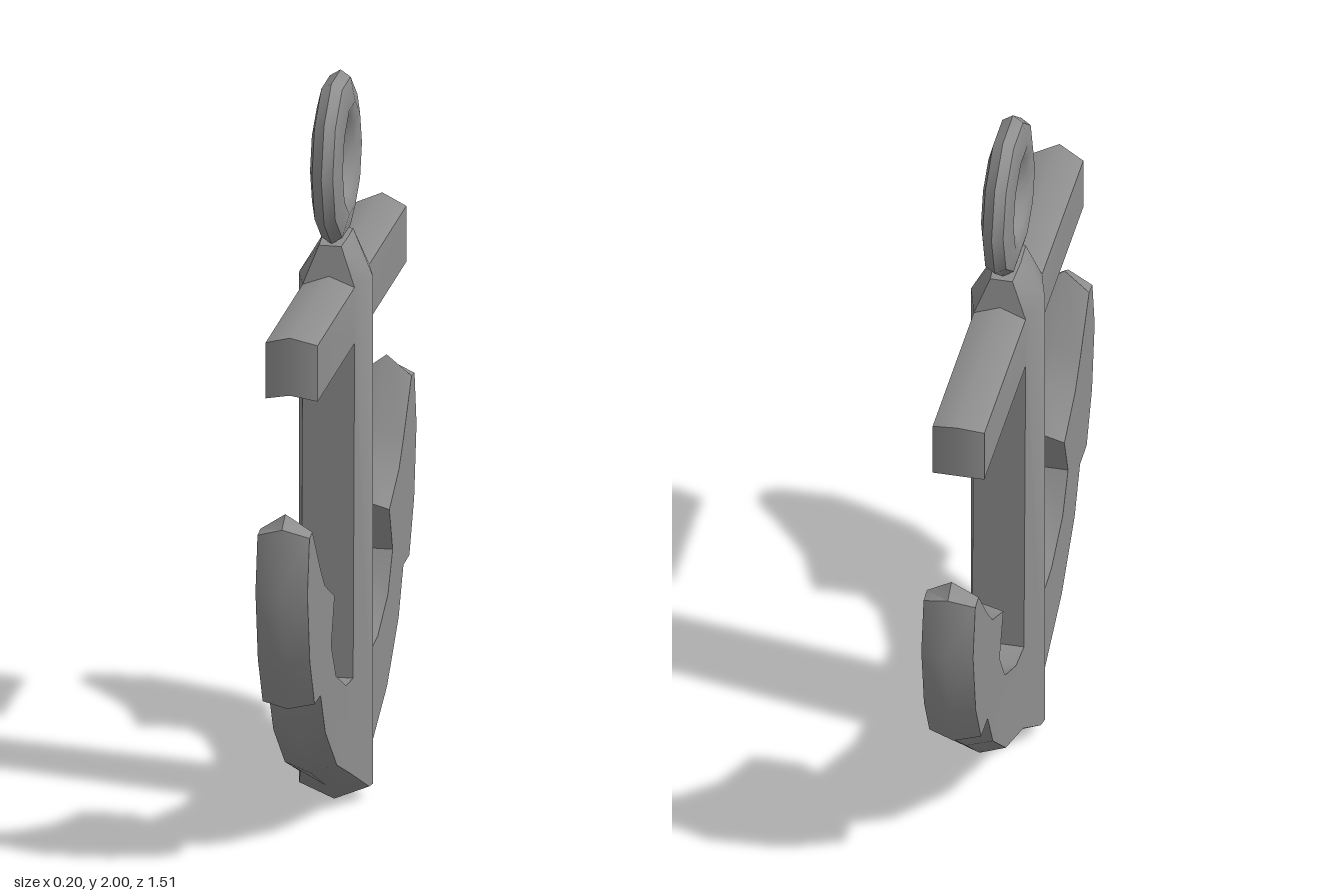
import * as THREE from 'three';
import { toCreasedNormals } from 'three/addons/utils/BufferGeometryUtils.js';

// Half outline of the anchor: z, y, half thickness of the side edge, then z, y of the mid ridge
const OUTLINE = [
  [0, 0.04, 0.1, 0, 0],               // 0 crown
  [0.025, 0.04, 0.0945, 0.025, 0],
  [0.13, 0.105, 0.07, 0.13, 0.07],    // 2 underside of arm
  [0.34, 0.2, 0.07, 0.345, 0.175],
  [0.495, 0.34, 0.07, 0.51, 0.325],
  [0.56, 0.465, 0.07, 0.575, 0.456],
  [0.64, 0.466, 0.07, 0.66, 0.455],   // 6 back of fluke
  [0.705, 0.605, 0.07, 0.72, 0.595],
  [0.737, 0.8, 0.07, 0.757, 0.8],
  [0.71, 0.95, 0.07, 0.73, 0.975],
  [0.67, 0.955, 0.07, 0.685, 1.005],  // 10 tip
  [0.56, 0.815, 0.07, 0.573, 0.84],
  [0.5, 0.75, 0.07, 0.5, 0.768],
  [0.37, 0.68, 0.07, 0.37, 0.7],      // 13 barb
  [0.415, 0.555, 0.07, 0.415, 0.555],
  [0.35, 0.45, 0.07, 0.35, 0.45],
  [0.215, 0.38, 0.07, 0.215, 0.38],
  [0.12, 0.37, 0.07, 0.12, 0.37],     // 17 foot of shank
  [0.1, 1.295, 0.07, 0.1, 1.315],     // 18 stock
  [0.6, 1.295, 0.07, 0.625, 1.315],
  [0.6, 1.45, 0.07, 0.625, 1.475],
  [0.1, 1.45, 0.07, 0.095, 1.475],    // 21 shoulder
  [0.08, 1.555, 0.03, 0.08, 1.555],
  [0, 1.56, 0.035, 0, 1.56],          // 23 neck
  [0, 1.45, 0.1, 0, 1.45],            // 24 middle of shoulder, inside the side face
];

// Side face of each part, and the stretch of the outline that its rim follows
const PARTS = {
  shank: { faces: [[0, 1, 2, 17, 18, 21, 24], [24, 21, 22, 23]], rims: [[0, 2], [17, 18], [21, 23]] },
  arms: { faces: [[2, 3, 4, 5, 6, 7, 8, 9, 10, 11, 12, 13, 14, 15, 16, 17]], rims: [[2, 17]] },
  stock: { faces: [[18, 19, 20, 21]], rims: [[18, 21]] },
};

// Corner positions of a part: one quarter, mirrored to both sides and both ends
function partPositions({ faces, rims }) {
  const edge = (i) => [OUTLINE[i][2], OUTLINE[i][1], OUTLINE[i][0]];
  const ridge = (i) => [0, OUTLINE[i][4], OUTLINE[i][3]];
  const triangles = [];
  for (const face of faces) {
    const contour = face.map((i) => new THREE.Vector2(OUTLINE[i][0], OUTLINE[i][1]));
    for (const t of THREE.ShapeUtils.triangulateShape(contour, [])) {
      triangles.push(t.map((k) => edge(face[k])));
    }
  }
  for (const [from, to] of rims) {
    for (let i = from; i < to; i++) {
      triangles.push([edge(i + 1), edge(i), ridge(i)], [edge(i + 1), ridge(i), ridge(i + 1)]);
    }
  }
  const positions = [];
  for (const sx of [1, -1]) {
    for (const sz of [1, -1]) {
      for (const [a, b, c] of triangles) {
        for (const p of sx * sz > 0 ? [a, c, b] : [a, b, c]) positions.push(sx * p[0], p[1], sz * p[2]);
      }
    }
  }
  return positions;
}

function geometryFrom(positions) {
  const geometry = new THREE.BufferGeometry();
  geometry.setAttribute('position', new THREE.Float32BufferAttribute(positions, 3));
  return geometry;
}

export function createModel() {
  const group = new THREE.Group();
  group.name = 'anchor';
  const material = new THREE.MeshStandardMaterial({ color: 0x8e8e8e });

  const add = (name, geometry) => {
    const mesh = new THREE.Mesh(geometry, material);
    mesh.name = name;
    group.add(mesh);
    return mesh;
  };

  // Normals are shared over the whole casting, so that the parts blend without seams
  const parts = Object.entries(PARTS).map(([name, part]) => [name, partPositions(part)]);
  const normals = toCreasedNormals(geometryFrom(parts.flatMap((p) => p[1])), 0.76).attributes.normal.array;
  let start = 0;
  for (const [name, positions] of parts) {
    const geometry = geometryFrom(positions);
    const end = start + positions.length;
    geometry.setAttribute('normal', new THREE.Float32BufferAttribute(normals.slice(start, end), 3));
    add(name, geometry);
    start = end;
  }

  // Ten-sided ring with bevelled faces, a little taller than wide
  const section = [
    [0.075, 0], [0.1, -0.03], [0.13, -0.044], [0.185, -0.028], [0.2, 0],
    [0.185, 0.028], [0.13, 0.044], [0.1, 0.03], [0.075, 0],
  ].map(([r, h]) => new THREE.Vector2(r, h));
  const ringGeometry = new THREE.LatheGeometry(section, 10).rotateZ(Math.PI / 2).scale(1, 1.17, 1);
  add('ring', toCreasedNormals(ringGeometry, 0.7)).position.y = 1.777;

  return group;
}
